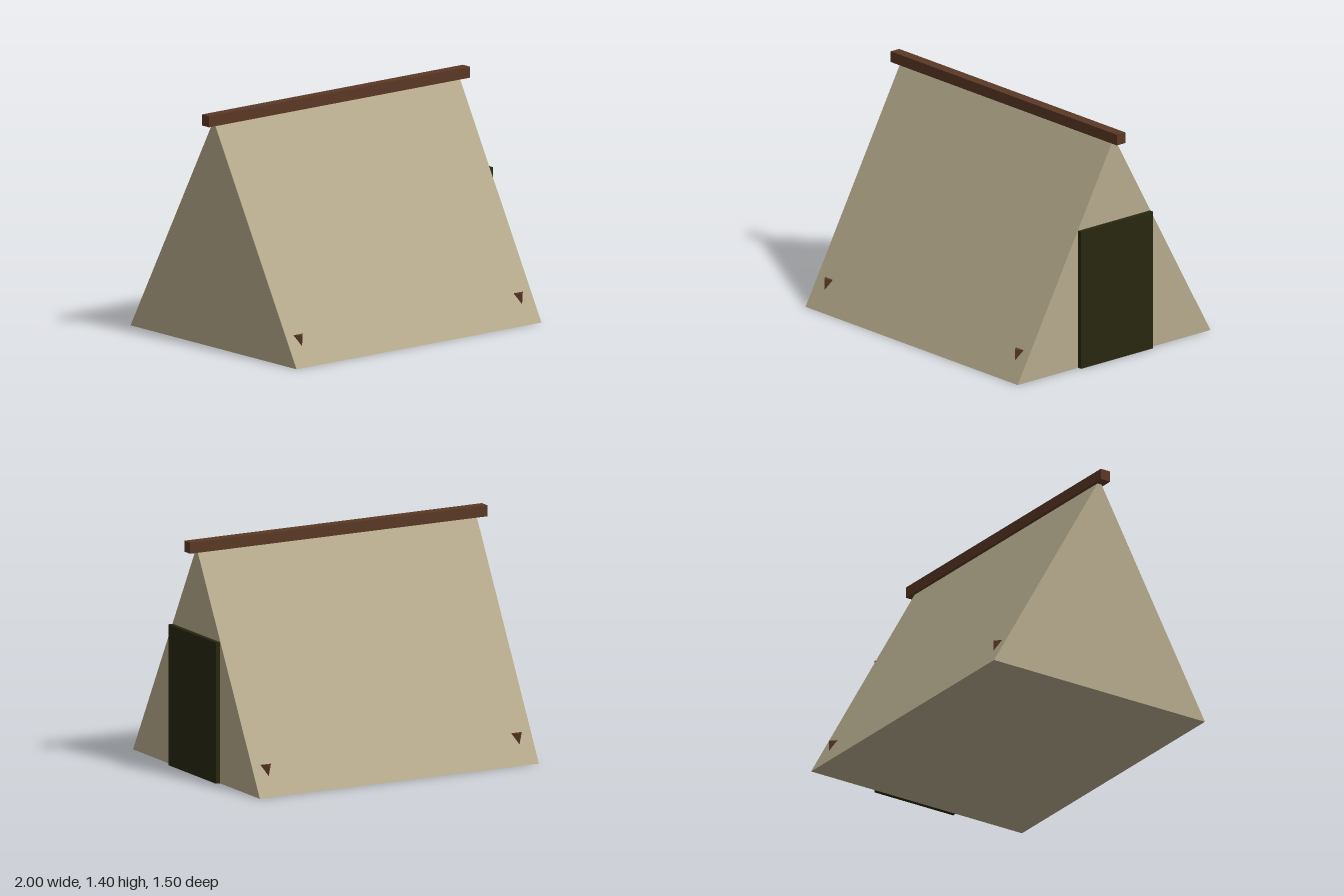
import * as THREE from 'three';

export function createModel() {
  const tent = new THREE.Group();
  tent.name = 'tent';

  const material = (name, color) => {
    const m = new THREE.MeshStandardMaterial({ color });
    m.name = name;
    return m;
  };
  const canvas = material('canvas', 0xb5aa8c);
  const wood = material('wood', 0x5a3825);
  const dark = material('dark opening', 0x28270f);

  const add = (name, geometry, mat, x, y, z) => {
    const mesh = new THREE.Mesh(geometry, mat);
    mesh.name = name;
    mesh.position.set(x, y, z);
    tent.add(mesh);
    return mesh;
  };

  // Canvas body: a triangular prism running along x
  const length = 1.876;
  const gable = new THREE.Shape();
  gable.moveTo(-0.75, 0);
  gable.lineTo(0.75, 0);
  gable.lineTo(0, 1.36);
  gable.closePath();
  const body = new THREE.ExtrudeGeometry(gable, { depth: length, bevelEnabled: false });
  body.translate(0, 0, -length / 2);
  body.rotateY(Math.PI / 2);
  add('canvasBody', body, canvas, 0, 0, 0);

  // Ridge pole, overhanging both gables
  add('ridgePole', new THREE.BoxGeometry(2, 0.066, 0.066), wood, 0, 1.367, 0);

  // Dark entrance on the +x gable
  add('entrance', new THREE.BoxGeometry(0.056, 0.845, 0.56), dark, 0.938, 0.4235, 0);

  // Square pegs, corner outward, poking through the canvas near each corner
  const peg = new THREE.CylinderGeometry(0.0375, 0.0375, 0.15, 4).toNonIndexed();
  peg.computeVertexNormals();
  for (const x of [-0.843, 0.843]) {
    for (const z of [-0.65, 0.65]) add('peg', peg, wood, x, 0.103, z);
  }

  return tent;
}
